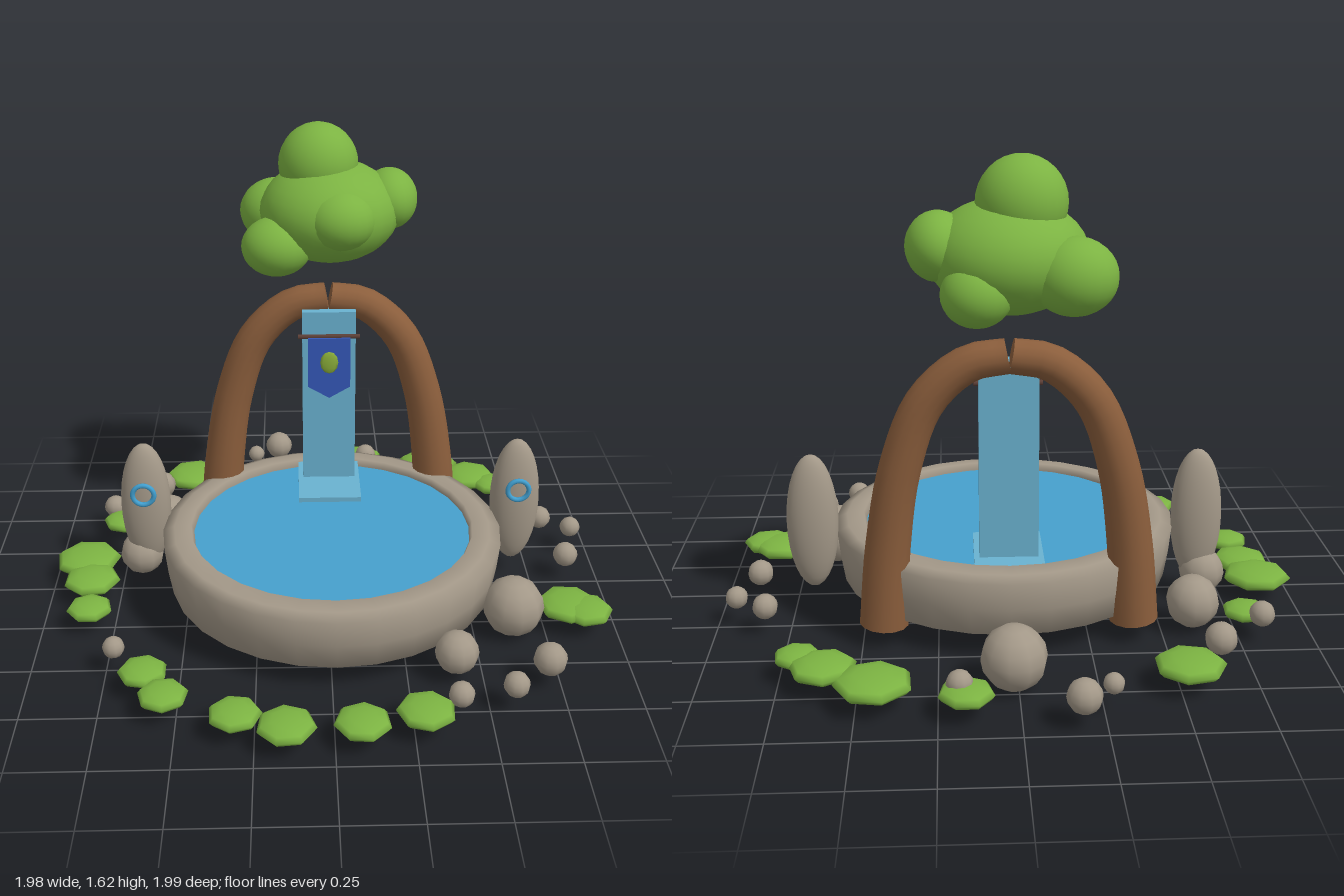
import * as THREE from 'three';

const mat = (name, color, side = THREE.FrontSide) => {
  const m = new THREE.MeshStandardMaterial({ color, side });
  m.name = name;
  return m;
};

export function createModel() {
  const stone = mat('stone', 0xa39888, THREE.DoubleSide);
  const leaf = mat('leaf green', 0x7cb342);
  const wood = mat('wood', 0x8b5e3c);
  const darkWood = mat('dark wood', 0x5d4037);
  const water = mat('pool water', 0x46a0cd, THREE.DoubleSide);
  const fall = mat('falling water', 0x6ab2d0);
  const cloth = mat('blue cloth', 0x3558b8);
  const emblemGreen = mat('emblem green', 0x8aae3a);
  const ringBlue = mat('ring blue', 0x42a0d0);

  const model = new THREE.Group();
  model.name = 'gardenFountain';
  const CX = 0.015; // shared centre line of basin, arch and waterfall

  const add = (name, geometry, material, x = 0, y = 0, z = 0, parent = model) => {
    const mesh = new THREE.Mesh(geometry, material);
    mesh.name = name;
    mesh.position.set(x, y, z);
    parent.add(mesh);
    return mesh;
  };
  const group = (name) => {
    const g = new THREE.Group();
    g.name = name;
    model.add(g);
    return g;
  };

  // Open stone basin and its water surface
  const profile = [
    [0.5, 0.12], [0.52, 0.09], [0.575, 0.09], [0.59, 0.18], [0.6, 0.275],
    [0.56, 0.292], [0.5, 0.298], [0.49, 0.275], [0.49, 0.2], [0.5, 0.12],
  ].map(([r, y]) => new THREE.Vector2(r, y));
  add('basin', new THREE.LatheGeometry(profile, 28), stone, CX, 0, 0.05);
  add('poolWater', new THREE.CircleGeometry(0.495, 40).rotateX(-Math.PI / 2), water, CX, 0.272, 0.05);

  // Waterfall sheet and splash slab
  add('waterfall', new THREE.BoxGeometry(0.195, 0.69, 0.05), fall, CX, 0.615, -0.335);
  add('splashSlab', new THREE.BoxGeometry(0.23, 0.03, 0.29), fall, CX, 0.275, -0.29);

  // Two tapering trunks that meet overhead
  const trunk = (name, side) => {
    const path = new THREE.CatmullRomCurve3([
      [0.415, 0.07, -0.37], [0.395, 0.35, -0.375], [0.35, 0.62, -0.385],
      [0.265, 0.84, -0.39], [0.13, 0.962, -0.395], [0.006, 0.985, -0.395],
    ].map(([x, y, z]) => new THREE.Vector3(CX + side * x, y, z)));
    const rings = 24, sides = 14;
    const g = new THREE.TubeGeometry(path, rings, 1, sides);
    const pos = g.attributes.position;
    const v = new THREE.Vector3();
    const radius = (t) => 0.082 - 0.025 * t;
    for (let i = 0; i < pos.count; i++) {
      const t = Math.floor(i / (sides + 1)) / rings;
      const c = path.getPointAt(t);
      v.fromBufferAttribute(pos, i).sub(c).multiplyScalar(radius(t)).add(c);
      pos.setXYZ(i, v.x, v.y, v.z);
    }
    const part = group(name);
    add('trunk', g, wood, 0, 0, 0, part);
    for (const t of [0, 1]) {
      const p = path.getPointAt(t);
      const cap = add('trunkEnd', new THREE.CircleGeometry(radius(t), sides), wood, p.x, p.y, p.z, part);
      const dir = path.getTangentAt(t).multiplyScalar(t ? 1 : -1);
      cap.quaternion.setFromUnitVectors(new THREE.Vector3(0, 0, 1), dir);
    }
  };
  trunk('archLeft', 1);
  trunk('archRight', -1);

  // Leafy crown: x, y, z, then the three radii
  const crown = group('treeCrown');
  const ball = new THREE.SphereGeometry(1, 24, 16);
  for (const [x, y, z, rx, ry, rz] of [
    [0.02, 1.31, -0.42, 0.25, 0.18, 0.255],
    [-0.02, 1.475, -0.44, 0.142, 0.146, 0.142],
    [0.235, 1.345, -0.445, 0.1, 0.108, 0.13],
    [-0.17, 1.215, -0.3, 0.125, 0.105, 0.12],
    [-0.17, 1.27, -0.555, 0.135, 0.12, 0.13],
    [0.12, 1.22, -0.57, 0.11, 0.1, 0.11],
    [0.05, 1.32, -0.27, 0.13, 0.11, 0.13],
  ]) add('leafClump', ball, leaf, x, y, z, crown).scale.set(rx, ry, rz);

  // Hanging banner
  const rod = new THREE.CylinderGeometry(0.009, 0.009, 0.225, 8).rotateZ(Math.PI / 2);
  add('bannerRod', rod, darkWood, CX, 0.87, -0.3);
  const flag = new THREE.Shape([[-0.077, 0.87], [-0.077, 0.68], [0, 0.635], [0.077, 0.68], [0.077, 0.87]]
    .map(([x, y]) => new THREE.Vector2(x, y)));
  add('banner', new THREE.ExtrudeGeometry(flag, { depth: 0.009, bevelEnabled: false }), cloth, CX, 0, -0.287);
  add('bannerLeaf', new THREE.SphereGeometry(1, 8, 6), emblemGreen, CX, 0.777, -0.276).scale.set(0.033, 0.043, 0.008);

  // Standing stones with blue rings
  for (const [name, x] of [['standingStoneLeft', 0.685], ['standingStoneRight', -0.655]]) {
    const part = group(name);
    add('pillar', ball, stone, x, 0.315, -0.075, part).scale.set(0.09, 0.243, 0.062);
    add('ring', new THREE.TorusGeometry(0.038, 0.009, 8, 24), ringBlue, x, 0.39, 0, part);
  }

  // Scattered rocks: x, z, radius
  const rocks = group('rocks');
  const rockShape = new THREE.SphereGeometry(1, 10, 8);
  [
    [-0.18, -0.95, 0.055], [-0.275, -0.875, 0.033], [0.185, -0.855, 0.042], [0.015, -0.71, 0.106],
    [-0.65, -0.605, 0.053], [-0.82, -0.435, 0.043], [-0.605, -0.335, 0.09], [-0.68, -0.085, 0.08],
    [0.83, -0.305, 0.043], [0.935, -0.23, 0.038], [0.88, -0.03, 0.045], [0.635, 0.31, 0.106],
    [0.41, 0.57, 0.073], [0.71, 0.615, 0.056], [0.58, 0.745, 0.043], [0.4, 0.79, 0.042], [-0.72, 0.51, 0.037],
  ].forEach(([x, z, r], i) => {
    const rock = add('rock', rockShape, stone, x, 0.1 + r * 0.08, z, rocks);
    rock.scale.setScalar(r);
    rock.rotation.y = i * 1.3;
  });

  // Flat ground plants: x, z, radius
  const plants = group('groundPlants');
  const padShape = new THREE.SphereGeometry(1, 7, 6);
  [
    [-0.53, -0.73, 0.115], [0.165, -0.875, 0.088], [0.445, -0.8, 0.125], [0.605, -0.695, 0.108],
    [0.69, -0.62, 0.077], [-0.78, -0.36, 0.078], [-0.88, -0.08, 0.12], [-0.85, 0.06, 0.102],
    [-0.835, 0.245, 0.08], [-0.615, 0.615, 0.083], [-0.54, 0.74, 0.083], [-0.31, 0.84, 0.087],
    [-0.15, 0.9, 0.096], [0.085, 0.89, 0.092], [0.285, 0.84, 0.096], [0.835, 0.265, 0.11], [0.89, 0.3, 0.095],
  ].forEach(([x, z, r], i) => {
    const pad = add('plantPad', padShape, leaf, x, 0.08, z, plants);
    pad.scale.set(r, 0.018 + r * 0.14, r);
    pad.rotation.y = i * 0.7;
  });

  return model;
}
